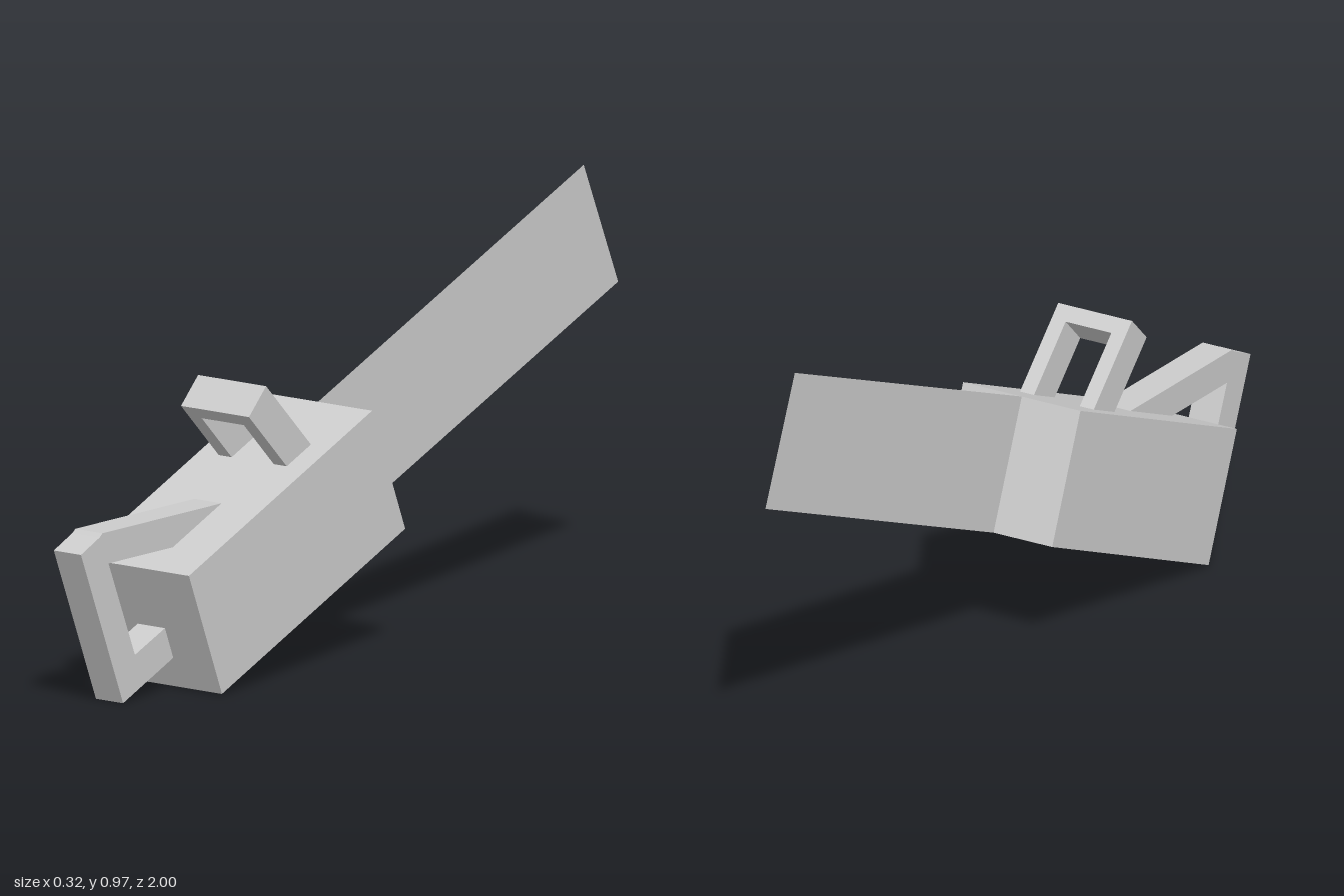
import * as THREE from 'three';

const HALF_PI = Math.PI / 2;

// shape from a list of 2D points
function outline(points) {
  return new THREE.Shape(points.map(([a, b]) => new THREE.Vector2(a, b)));
}

// extrude a shape, centred on its depth
function slab(shape, depth) {
  const geometry = new THREE.ExtrudeGeometry(shape, { depth, bevelEnabled: false });
  return geometry.translate(0, 0, -depth / 2);
}

// side profile given as [z, y], extruded across x
function sideSlab(points, width) {
  return slab(outline(points), width).rotateY(-HALF_PI);
}

export function createModel() {
  const group = new THREE.Group();
  const grey = new THREE.MeshStandardMaterial({ color: 0xcccccc, side: THREE.DoubleSide });
  grey.name = 'light grey';

  const add = (name, geometry) => {
    const mesh = new THREE.Mesh(geometry, grey);
    mesh.name = name;
    group.add(mesh);
    return mesh;
  };

  // tilted motor housing
  add('motorBody', sideSlab([[0.635, 0.005], [0.755, 0.3], [0.09, 0.578], [-0.03, 0.283]], 0.318));

  // paper-thin cutting bar on the centre line
  const blade = new THREE.ShapeGeometry(
    outline([[-0.03, 0.283], [0.09, 0.578], [-0.875, 0.975], [-1, 0.682]])
  );
  add('blade', blade.rotateY(-HALF_PI));

  // looped grip: top bar, slanted upright and lower bar in one profile
  add('rearHandle', sideSlab([
    [0.847, 0.002], [1, 0.373], [0.932, 0.403], [0.922, 0.411], [0.486, 0.411],
    [0.62, 0.337], [0.9, 0.337], [0.804, 0.108], [0.68, 0.159], [0.65, 0.085]
  ], 0.08));

  // U-shaped hand guard leaning forward, its legs sunk into the body
  const guard = slab(outline([
    [-0.1, 0], [-0.1, -0.27], [-0.062, -0.27], [-0.062, -0.04],
    [0.062, -0.04], [0.062, -0.27], [0.1, -0.27], [0.1, 0]
  ]), 0.088);
  const guardMesh = add('handGuard', guard);
  guardMesh.rotation.x = Math.PI / 4;
  guardMesh.position.set(0, 0.647, 0.433);

  return group;
}
